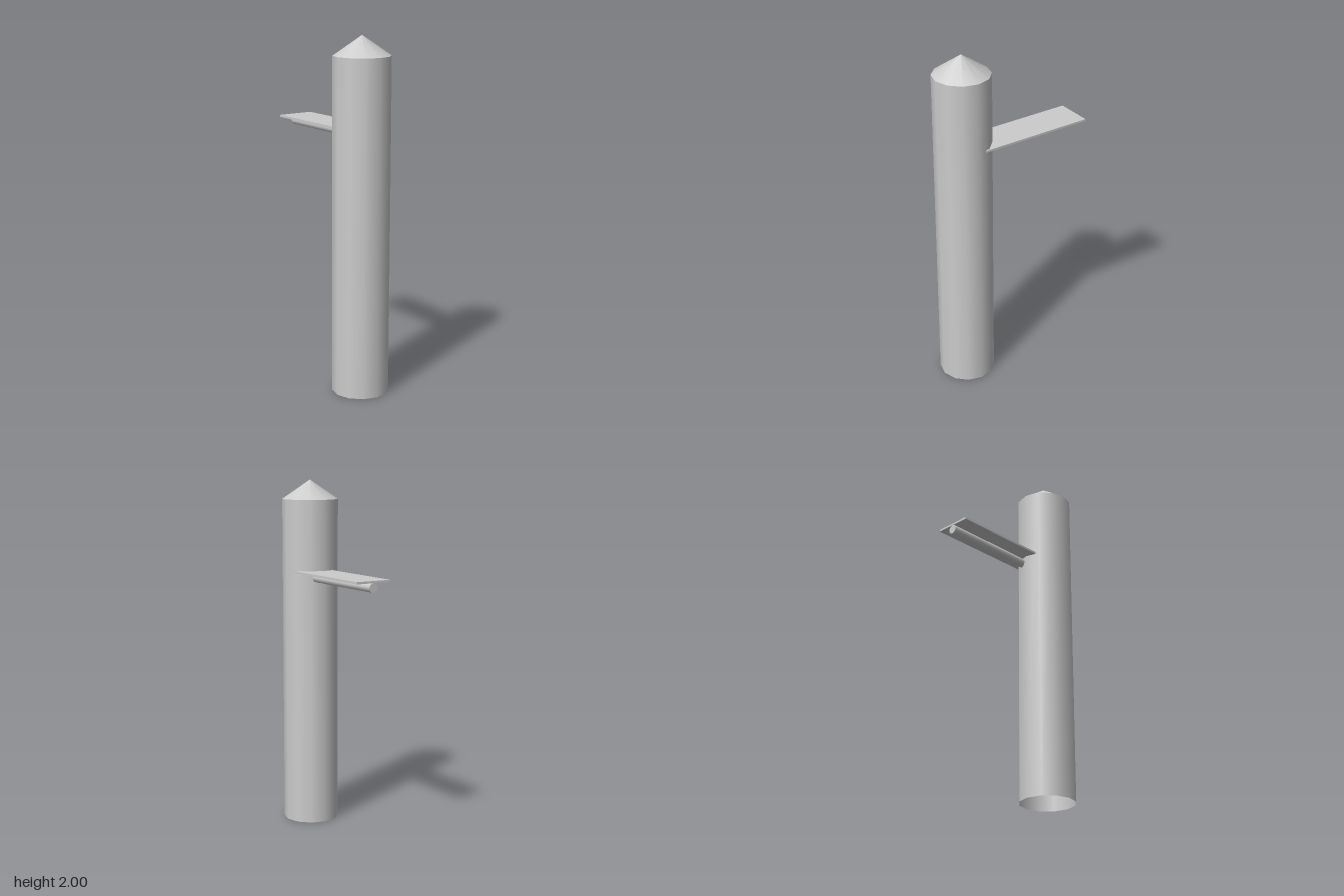
import * as THREE from 'three';

export function createModel() {
  const model = new THREE.Group();
  const grey = new THREE.MeshStandardMaterial({ color: 0xcccccc, side: THREE.DoubleSide });
  grey.name = 'light grey';

  const add = (name, geometry, x, y, z) => {
    const mesh = new THREE.Mesh(geometry, grey);
    mesh.name = name;
    mesh.position.set(x, y, z);
    model.add(mesh);
    return mesh;
  };

  const sides = 12;
  const radius = 0.16;
  const poleX = 0.277;
  const shoulder = 1.89; // height where the pointed top begins

  // Upright pole, open at the bottom
  add('pole', new THREE.CylinderGeometry(radius, radius, shoulder, sides, 1, true), poleX, shoulder / 2, 0);
  // Pointed top
  add('pointedTop', new THREE.ConeGeometry(radius, 2 - shoulder, sides, 1, true), poleX, (2 + shoulder) / 2, 0);

  // Side arm: a thin board resting on a round rod, both running into the pole
  const armStart = -0.44;
  const armEnd = 0.22;
  const armLength = armEnd - armStart;
  const armX = (armStart + armEnd) / 2;
  const armZ = -0.045;
  add('board', new THREE.BoxGeometry(armLength, 0.012, 0.212), armX, 1.482, armZ);
  const rod = add('rod', new THREE.CylinderGeometry(0.026, 0.026, armLength, sides), armX, 1.45, armZ);
  rod.rotation.z = Math.PI / 2;

  return model;
}
